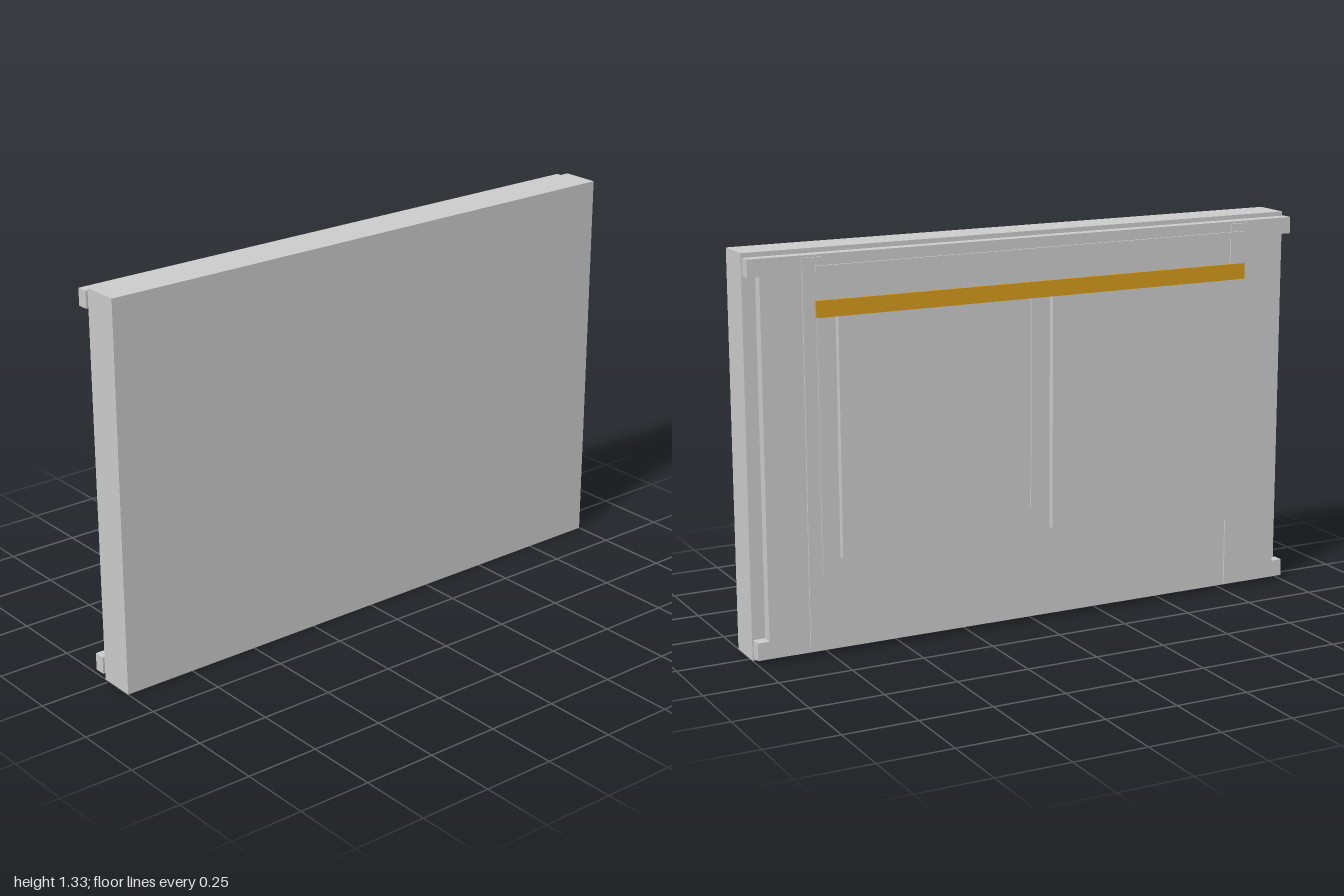
import * as THREE from 'three';

export function createModel() {
  const model = new THREE.Group();
  const grey = new THREE.MeshStandardMaterial({ color: 0xcccccc });
  const gold = new THREE.MeshStandardMaterial({ color: 0xd49a1c });

  // Adds a box given by its extents along each axis
  function addBox(name, [x0, x1], [y0, y1], [z0, z1], material = grey) {
    const mesh = new THREE.Mesh(new THREE.BoxGeometry(x1 - x0, y1 - y0, z1 - z0), material);
    mesh.position.set((x0 + x1) / 2, (y0 + y1) / 2, (z0 + z1) / 2);
    mesh.name = name;
    model.add(mesh);
  }

  // Thick wall slab and the thinner backing board beside it
  addBox('mainSlab', [-0.02, 0.11], [0, 1.325], [-1, 1]);
  addBox('backingBoard', [-0.071, -0.034], [0.074, 1.255], [-0.96, 0.96]);

  // Full-length rails along the board's top and bottom
  addBox('bottomRail', [-0.071, -0.032], [0.015, 0.074], [-1, 1]);
  addBox('topRail', [-0.071, -0.032], [1.255, 1.312], [-1, 1]);

  // Thin raised sheet across the middle
  addBox('raisedSheet', [-0.081, -0.071], [0.26, 1.16], [-0.775, 0.775]);

  // Mirrored upright strips and panels
  for (const s of [-1, 1]) {
    const span = (a, b) => (s > 0 ? [a, b] : [-b, -a]);
    addBox('uprightStrip', [-0.077, -0.071], [0.02, 1.304], span(0.755, 0.82));
    addBox('panel', [-0.103, -0.081], [0.325, 1.145], span(0.05, 0.713));
  }

  // Slim trim standing clear of the panels
  addBox('centreStrip', [-0.111, -0.104], [0.41, 1.118], [-0.035, -0.013]);
  addBox('goldBar', [-0.111, -0.103], [1.118, 1.172], [-0.79, 0.79], gold);
  addBox('upperTrim', [-0.111, -0.104], [1.261, 1.282], [-0.79, 0.79]);

  return model;
}
